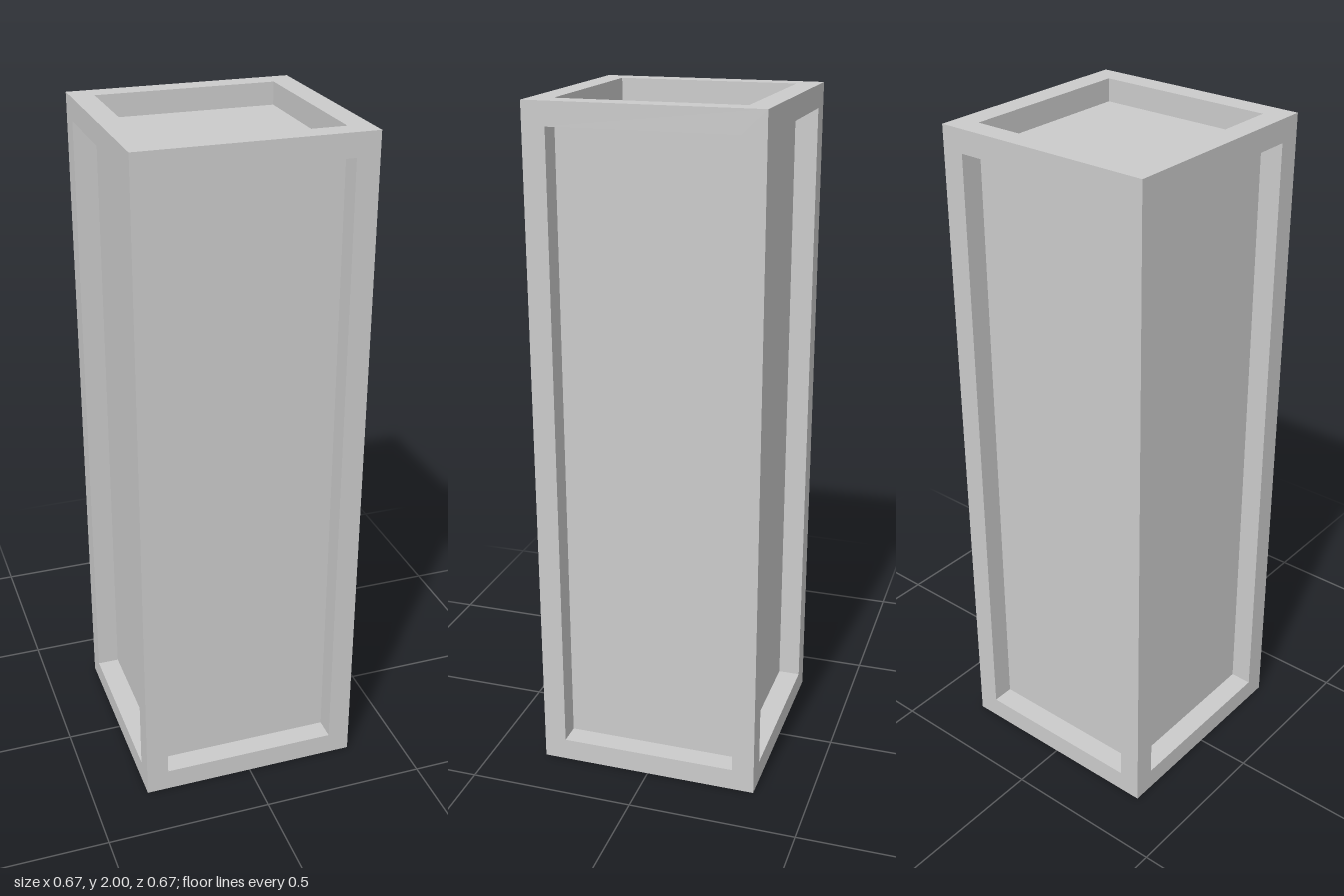
import * as THREE from 'three';

const SIDE = 2 / 3;      // width and depth of the column
const HEIGHT = 2;
const BORDER = 1 / 15;   // frame width, also the recess depth

// Framed panel facing +z: rectangular loops for the rim, the recess walls and the sunken floor.
function recessedPanel(w, h) {
  const loop = (inset, z) => [[-1, -1], [1, -1], [1, 1], [-1, 1]].map(
    ([sx, sy]) => [sx * (w / 2 - inset), sy * (h / 2 - inset), z]);
  const loops = [loop(0, 0), loop(BORDER, 0), loop(BORDER, -BORDER)];
  const positions = [];
  const quad = (a, b, c, d) => positions.push(...a, ...b, ...c, ...a, ...c, ...d);
  for (let i = 0; i < loops.length - 1; i++) {
    for (let j = 0; j < 4; j++) {
      const k = (j + 1) % 4;
      quad(loops[i][j], loops[i][k], loops[i + 1][k], loops[i + 1][j]);
    }
  }
  quad(...loops[2]);
  const geometry = new THREE.BufferGeometry();
  geometry.setAttribute('position', new THREE.Float32BufferAttribute(positions, 3));
  geometry.computeVertexNormals();
  return geometry;
}

export function createModel() {
  const group = new THREE.Group();
  group.name = 'framedColumn';
  const material = new THREE.MeshStandardMaterial({ color: 0xcccccc, flatShading: true });

  const add = (name, geometry) => {
    const mesh = new THREE.Mesh(geometry, material);
    mesh.name = name;
    group.add(mesh);
    return mesh;
  };

  // Four tall side panels
  ['frontPanel', 'leftPanel', 'backPanel', 'rightPanel'].forEach((name, i) => {
    const angle = i * Math.PI / 2;
    const panel = add(name, recessedPanel(SIDE, HEIGHT));
    panel.rotation.y = angle;
    panel.position.set(Math.sin(angle) * SIDE / 2, HEIGHT / 2, Math.cos(angle) * SIDE / 2);
  });

  // Recessed top
  const top = add('topPanel', recessedPanel(SIDE, SIDE));
  top.rotation.x = -Math.PI / 2;
  top.position.y = HEIGHT;

  // Flat underside
  const base = add('base', new THREE.PlaneGeometry(SIDE, SIDE));
  base.rotation.x = Math.PI / 2;

  return group;
}
